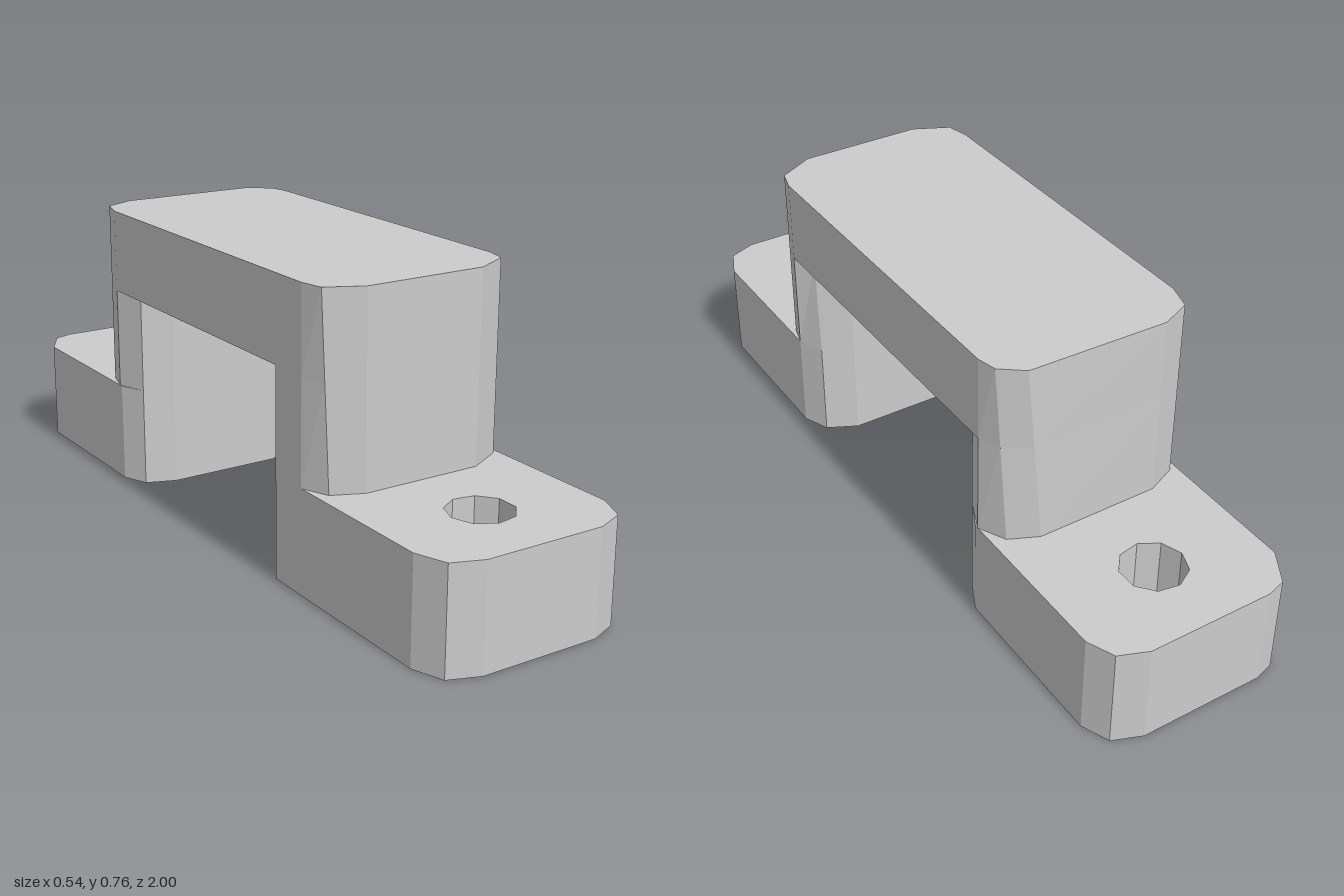
import * as THREE from 'three';

const material = new THREE.MeshStandardMaterial({ color: 0xcccccc, flatShading: true });
const FOOT_H = 0.27, BEAM_Y = 0.54, TOP_Y = 0.76;

// Corner outlines as [x, z], running front-left, front-right, back-right, back-left.
const frontLow = [[-0.27, 0.46], [-0.24, 0.53], [-0.16, 0.565], [0.16, 0.565], [0.255, 0.515], [0.27, 0.46]];
const frontHigh = [[-0.27, 0.46], [-0.257, 0.52], [-0.165, 0.565], [0.16, 0.565], [0.255, 0.515], [0.27, 0.46]];
const backLow = [[0.27, -0.46], [0.235, -0.53], [0.16, -0.565], [-0.17, -0.565], [-0.25, -0.53], [-0.27, -0.46]];
const backHigh = [[0.27, -0.46], [0.258, -0.51], [0.2, -0.555], [-0.17, -0.565], [-0.25, -0.53], [-0.27, -0.46]];

// Inner faces of the legs: the front one keeps one square corner.
const frontInner = [[0.24, 0.39], [0.16, 0.35], [-0.27, 0.35]];
const frontInnerHigh = [[0.235, 0.41], [0.16, 0.35], [-0.27, 0.35]];
const backInner = [[-0.24, -0.38], [-0.16, -0.35], [0.16, -0.35], [0.235, -0.38]];

const mix = (a, b, y) => {
  const t = (y - FOOT_H) / (TOP_Y - FOOT_H);
  return a.map((p, i) => [THREE.MathUtils.lerp(p[0], b[i][0], t), THREE.MathUtils.lerp(p[1], b[i][1], t)]);
};

// Solid between two convex outlines at heights y0 and y1.
function loft(name, low, high, y0, y1) {
  const pos = [], n = low.length;
  const lo = (i) => [low[i % n][0], y0, low[i % n][1]];
  const hi = (i) => [high[i % n][0], y1, high[i % n][1]];
  const tri = (...pts) => pts.forEach((p) => pos.push(...p));
  for (let i = 0; i < n; i++) {
    tri(lo(i), lo(i + 1), hi(i + 1));
    tri(lo(i), hi(i + 1), hi(i));
    if (i > 0 && i < n - 1) {
      tri(hi(0), hi(i), hi(i + 1));
      tri(lo(0), lo(i + 1), lo(i));
    }
  }
  const geo = new THREE.BufferGeometry();
  geo.setAttribute('position', new THREE.Float32BufferAttribute(pos, 3));
  geo.computeVertexNormals();
  const mesh = new THREE.Mesh(geo, material);
  mesh.name = name;
  return mesh;
}

// Foot plate with a nine-sided screw hole.
function foot(name, outline, holeZ) {
  const shape = new THREE.Shape(outline.map(([x, z]) => new THREE.Vector2(x, -z)));
  const hole = [];
  for (let i = 0; i < 9; i++) {
    const a = Math.PI + (i * Math.PI * 2) / 9;
    hole.push(new THREE.Vector2(-0.002 + 0.083 * Math.cos(a), -holeZ + 0.083 * Math.sin(a)));
  }
  shape.holes.push(new THREE.Path(hole));
  const geo = new THREE.ExtrudeGeometry(shape, { depth: FOOT_H, bevelEnabled: false });
  geo.rotateX(-Math.PI / 2);
  const mesh = new THREE.Mesh(geo, material);
  mesh.name = name;
  return mesh;
}

export function createModel() {
  const group = new THREE.Group();
  group.name = 'handleBracket';

  // Feet
  group.add(foot('frontFoot', [
    [-0.27, 0.89], [-0.24, 0.97], [-0.16, 1], [0.16, 1], [0.235, 0.97], [0.27, 0.89],
    [0.27, 0.46], ...frontInner,
  ], 0.782));
  group.add(foot('backFoot', [
    [-0.27, -0.45], ...backInner, [0.27, -0.45],
    [0.27, -0.9], [0.24, -0.97], [0.165, -1], [-0.17, -1], [-0.22, -0.985], [-0.27, -0.9],
  ], -0.787));

  // Legs
  group.add(loft('frontLeg',
    [...frontLow, ...frontInner],
    [...mix(frontLow, frontHigh, BEAM_Y), ...frontInnerHigh], FOOT_H, BEAM_Y));
  group.add(loft('backLeg',
    [...backLow, ...backInner],
    [...mix(backLow, backHigh, BEAM_Y), ...backInner], FOOT_H, BEAM_Y));

  // Grip beam
  group.add(loft('gripBeam',
    [...mix(frontLow, frontHigh, BEAM_Y), ...mix(backLow, backHigh, BEAM_Y)],
    [...frontHigh, ...backHigh], BEAM_Y, TOP_Y));
  return group;
}
